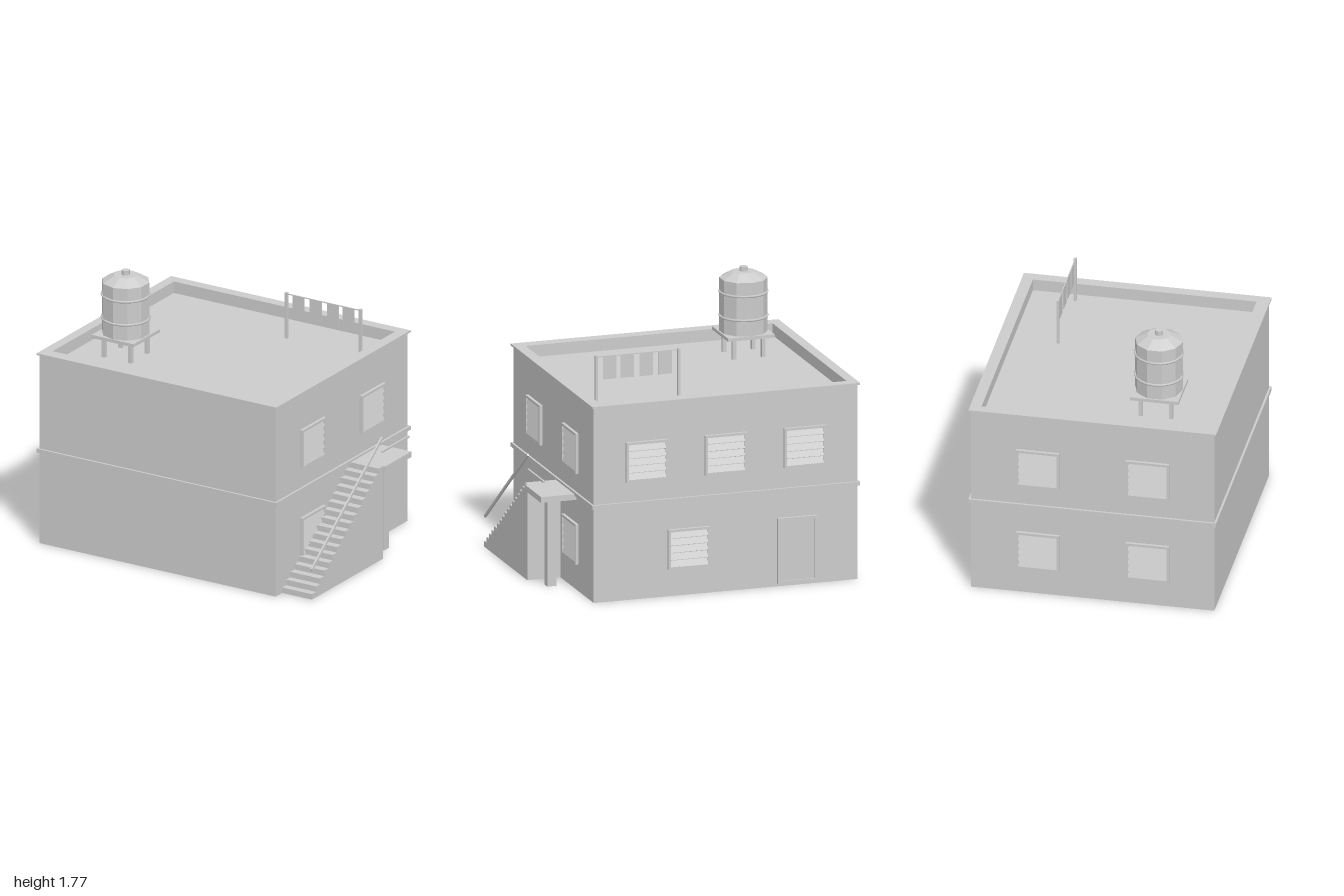
import * as THREE from 'three';

const grey = new THREE.MeshStandardMaterial({ color: 0xcccccc, flatShading: true });
const smooth = new THREE.MeshStandardMaterial({ color: 0xcccccc });

function add(parent, name, geometry, x = 0, y = 0, z = 0, material = grey) {
  const mesh = new THREE.Mesh(geometry, material);
  mesh.name = name;
  mesh.position.set(x, y, z);
  parent.add(mesh);
  return mesh;
}

// box given by its low and high corner on each axis
function box(parent, name, x0, x1, y0, y1, z0, z1) {
  return add(parent, name, new THREE.BoxGeometry(x1 - x0, y1 - y0, z1 - z0),
    (x0 + x1) / 2, (y0 + y1) / 2, (z0 + z1) / 2);
}

function group(parent, name, x = 0, y = 0, z = 0, turn = 0) {
  const g = new THREE.Group();
  g.name = name;
  g.position.set(x, y, z);
  g.rotation.y = turn;
  parent.add(g);
  return g;
}

// flat rectangular ring with a rectangular opening, extruded upward from y
function ring(parent, name, outer, inner, y, height) {
  const corners = ([x0, x1, z0, z1]) =>
    [[x0, -z1], [x1, -z1], [x1, -z0], [x0, -z0]].map(p => new THREE.Vector2(...p));
  const shape = new THREE.Shape(corners(outer));
  shape.holes.push(new THREE.Path(corners(inner)));
  const geo = new THREE.ExtrudeGeometry(shape, { depth: height, bevelEnabled: false });
  geo.rotateX(-Math.PI / 2);
  return add(parent, name, geo, 0, y, 0);
}

// rectangular frame facing +z, standing proud of the wall
function frame(parent, w, h, bar, depth) {
  for (const s of [-1, 1]) {
    add(parent, 'frameSide', new THREE.BoxGeometry(bar, h, depth), s * (w - bar) / 2, 0, depth / 2);
    add(parent, 'frameRail', new THREE.BoxGeometry(w - 2 * bar, bar, depth), 0, s * (h - bar) / 2, depth / 2);
  }
}

function louvredWindow(parent, x, y, z, turn) {
  const g = group(parent, 'louvredWindow', x, y, z, turn);
  const w = 0.277, h = 0.26;
  frame(g, w, h, 0.016, 0.02);
  add(g, 'windowPanel', new THREE.BoxGeometry(w - 0.03, h - 0.03, 0.006), 0, 0, 0.002);
  for (let i = -2; i <= 2; i++) {
    const slat = add(g, 'slat', new THREE.BoxGeometry(w - 0.032, 0.042, 0.005), 0, i * 0.047, 0.011);
    slat.rotation.x = -0.35;
  }
}

function buildTank(parent) {
  const g = group(parent, 'waterTank', -0.612, 0, 0.355);
  add(g, 'tankPlatform', new THREE.BoxGeometry(0.31, 0.021, 0.31), 0, 1.3435, 0);
  for (const sx of [-1, 1]) for (const sz of [-1, 1])
    add(g, 'platformLeg', new THREE.BoxGeometry(0.025, 0.133, 0.025), sx * 0.097, 1.2665, sz * 0.097);
  add(g, 'tankBody', new THREE.CylinderGeometry(0.152, 0.152, 0.346, 10), 0, 1.527, 0);
  add(g, 'tankShoulder', new THREE.CylinderGeometry(0.075, 0.152, 0.042, 10), 0, 1.721, 0);
  add(g, 'tankCap', new THREE.CylinderGeometry(0.026, 0.026, 0.032, 8), 0, 1.756, 0);
  for (const y of [1.457, 1.612]) {
    const hoop = new THREE.TorusGeometry(0.151, 0.008, 6, 20);
    hoop.rotateX(Math.PI / 2);
    add(g, 'tankHoop', hoop, 0, y, 0, smooth);
  }
}

function buildClothesline(parent) {
  const g = group(parent, 'clothesline', 0, 0, -0.43);
  for (const x of [0.085, 0.63]) box(g, 'linePost', x - 0.009, x + 0.009, 1.2, 1.506, -0.009, 0.009);
  box(g, 'line', 0.085, 0.63, 1.494, 1.5, -0.003, 0.003);
  for (const x of [0.173, 0.3, 0.427, 0.543]) box(g, 'cloth', x - 0.044, x + 0.044, 1.347, 1.495, -0.002, 0.002);
}

function buildStair(parent) {
  const g = group(parent, 'outsideStair');
  const x0 = 0.765, x1 = 0.985, zStart = 0.706, zEnd = -0.13, top = 0.622, steps = 17;
  // solid stepped side profile, extruded across the width
  const shape = new THREE.Shape();
  shape.moveTo(-zStart, 0);
  for (let i = 0; i < steps; i++) {
    const y = top * (i + 1) / steps;
    shape.lineTo(-zStart + (zStart - zEnd) * i / steps, y);
    shape.lineTo(-zStart + (zStart - zEnd) * (i + 1) / steps, y);
  }
  shape.lineTo(-zEnd, 0);
  const geo = new THREE.ExtrudeGeometry(shape, { depth: x1 - x0, bevelEnabled: false });
  geo.rotateY(Math.PI / 2);
  add(g, 'steps', geo, x0, 0, 0);
  box(g, 'landing', x0, 1, 0.584, top, -0.442, zEnd);
  box(g, 'landingColumn', 0.855, 0.915, 0, 0.584, -0.314, -0.255);
  // sloping and level handrails
  const a = new THREE.Vector2(0.703, 0.197), b = new THREE.Vector2(-0.13, 0.815);
  const rail = add(g, 'stairHandrail', new THREE.BoxGeometry(0.012, 0.016, a.distanceTo(b)),
    0.98, (a.y + b.y) / 2, (a.x + b.x) / 2);
  rail.rotation.x = Math.atan2(b.y - a.y, a.x - b.x);
  box(g, 'landingHandrail', 0.974, 0.986, 0.712, 0.725, -0.442, -0.13);
}

export function createModel() {
  const model = new THREE.Group();
  model.name = 'house';
  const X0 = -0.98, X1 = 0.765, Z0 = -0.773, Z1 = 0.782, ROOF = 1.2, over = 0.014;
  const inner = [-0.928, 0.707, -0.715, 0.713];
  const outer = [X0 - over, X1 + over, Z0 - over, Z1 + over];

  // walls, floor band, parapet and its coping
  box(model, 'walls', X0, X1, 0, ROOF, Z0, Z1);
  ring(model, 'floorBand', outer, [X0, X1, Z0, Z1], 0.61, 0.026);
  ring(model, 'parapet', [X0, X1, Z0, Z1], inner, ROOF, 0.065);
  ring(model, 'coping', outer, inner, 1.265, 0.012);

  // windows on both sides, two per storey
  for (const y of [0.304, 0.895]) for (const z of [-0.345, 0.357]) {
    louvredWindow(model, X1, y, z, Math.PI / 2);
    louvredWindow(model, X0, y, z, -Math.PI / 2);
  }
  // back windows
  for (const x of [-0.63, -0.107, 0.415]) louvredWindow(model, x, 0.895, Z0, Math.PI);
  louvredWindow(model, 0.137, 0.304, Z0, Math.PI);

  // back door
  const door = group(model, 'door', -0.578, 0.232, Z0, Math.PI);
  frame(door, 0.26, 0.424, 0.016, 0.019);
  add(door, 'doorPanel', new THREE.BoxGeometry(0.23, 0.394, 0.02), 0, 0, 0);

  buildStair(model);
  buildTank(model);
  buildClothesline(model);
  return model;
}
